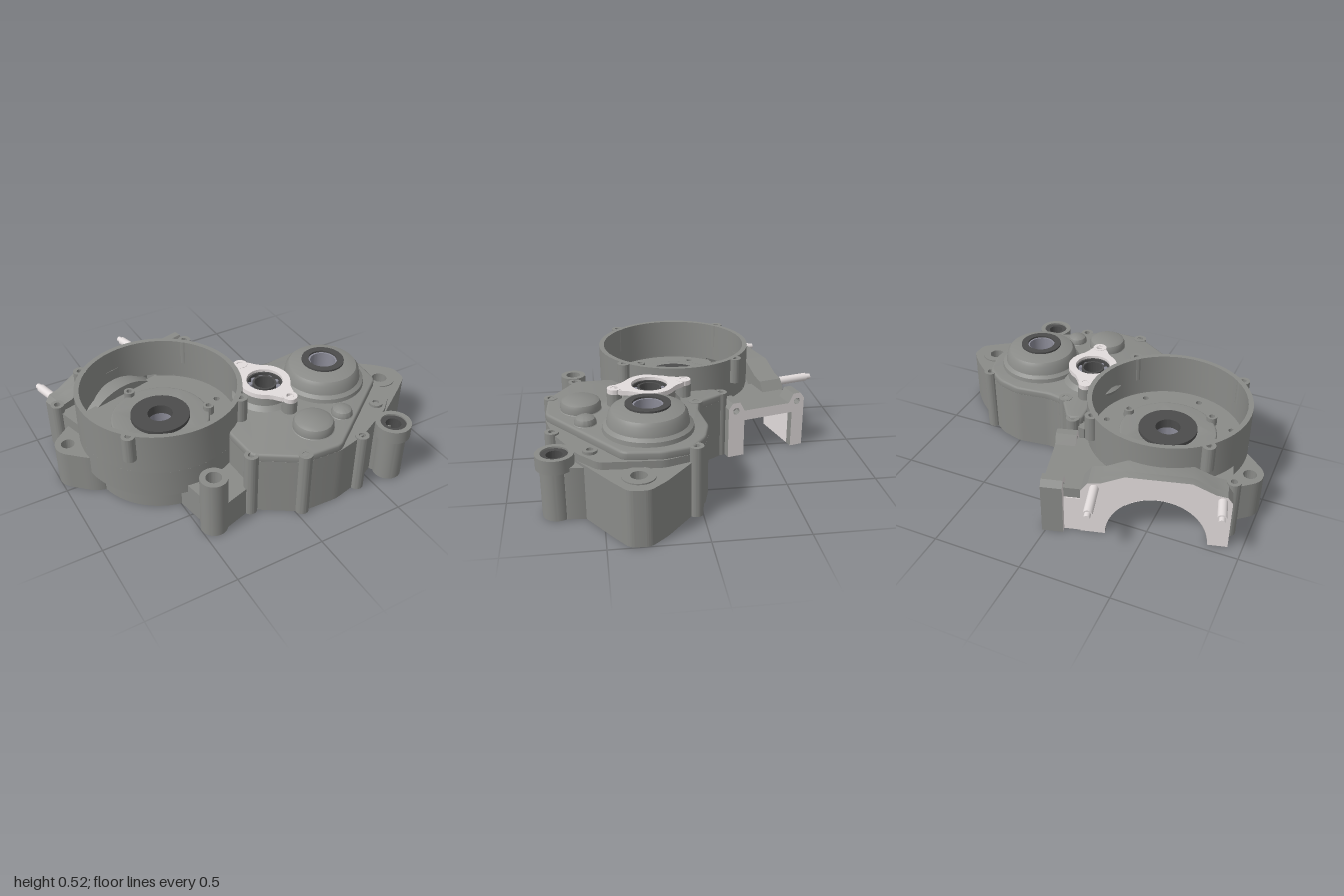
import * as THREE from 'three';
import { toCreasedNormals } from 'three/addons/utils/BufferGeometryUtils.js';

const mat = (color) => new THREE.MeshStandardMaterial({ color, side: THREE.DoubleSide });
const cast = mat(0x8a8b88), light = mat(0xe2dcdc), dark = mat(0x4c4c4c), steel = mat(0x8c8c98);

// Closed outline with rounded corners from plan points [x, z]
function outline(pts, r = 0.03, Type = THREE.Shape) {
  const s = new Type(), v = pts.map(([x, z]) => new THREE.Vector2(x, -z));
  v.forEach((p, i) => {
    const a = v[(i + v.length - 1) % v.length], b = v[(i + 1) % v.length];
    const toward = (q) => p.clone().lerp(q, Math.min(0.45, r / p.distanceTo(q)));
    const p0 = toward(a), p1 = toward(b);
    i ? s.lineTo(p0.x, p0.y) : s.moveTo(p0.x, p0.y);
    s.quadraticCurveTo(p.x, p.y, p1.x, p1.y);
  });
  s.closePath();
  return s;
}
const hole = (x, z, r) => new THREE.Path().absarc(x, -z, r, 0, Math.PI * 2, true);
function disc(x, z, r, ...holes) {
  const s = new THREE.Shape().absarc(x, -z, r, 0, Math.PI * 2);
  s.holes = holes;
  return s;
}

function add(parent, name, geo, material) {
  const m = new THREE.Mesh(geo, material);
  m.name = name;
  parent.add(m);
  return m;
}
const extrude = (shape, depth, bevel = 0) => toCreasedNormals(new THREE.ExtrudeGeometry(shape, {
  depth: depth - bevel * 2, curveSegments: 28, bevelEnabled: bevel > 0,
  bevelSize: bevel, bevelThickness: bevel, bevelOffset: -bevel, bevelSegments: 3,
}).translate(0, 0, bevel), 0.6);
// Plan shape raised from y0 to y1
const slab = (parent, name, shape, y0, y1, material = cast, bevel = 0) =>
  add(parent, name, extrude(shape, y1 - y0, bevel).rotateX(-Math.PI / 2).translate(0, y0, 0), material);
const tube = (parent, name, x, z, r, ri, y0, y1, material = cast) =>
  slab(parent, name, disc(x, z, r, hole(x, z, ri)), y0, y1, material);
function lathe(parent, name, x, z, pts) {
  const g = new THREE.LatheGeometry(pts.map((p) => new THREE.Vector2(...p)), 48);
  return add(parent, name, toCreasedNormals(g, 0.6).translate(x, 0, z), cast);
}
function box(parent, name, x0, x1, y0, y1, z0, z1, material = cast) {
  const g = new THREE.BoxGeometry(x1 - x0, y1 - y0, z1 - z0);
  return add(parent, name, g.translate((x0 + x1) / 2, (y0 + y1) / 2, (z0 + z1) / 2), material);
}

// Round crank housing; local -z points along the cylinder bore
function crankHousing() {
  const g = new THREE.Group(), turn = 0.255;
  g.name = 'crankHousing';
  g.position.set(-0.42, 0, 0.01);
  g.rotation.y = turn;
  const a0 = Math.PI / 2 + 0.65, a1 = Math.PI * 2.5 - 0.65;
  const openRing = (R, r) => {
    const s = new THREE.Shape().absarc(0, 0, R, a0, a1);
    s.absarc(0, 0, r, a1, a0, true);
    s.closePath();
    return s;
  };
  // Joint screw holes run through the floor and the chamber wall
  const screwHoles = [0, 1, 3, 4, 5, 6].map((i) => {
    const a = 0.035 + i * Math.PI * 2 / 7 - turn;
    return hole(Math.cos(a) * 0.366, -Math.sin(a) * 0.366, 0.018);
  });
  slab(g, 'drumWall', disc(0, 0, 0.453, hole(0, 0, 0.425)), 0.29, 0.525);
  slab(g, 'drumLowerWall', openRing(0.453, 0.425), 0.13, 0.29);
  const chamber = openRing(0.395, 0.345);
  chamber.holes = screwHoles;
  slab(g, 'crankChamberWall', chamber, 0, 0.17);
  slab(g, 'crankChamberLining', openRing(0.346, 0.34), 0.002, 0.15, light);
  // Floor, cut straight where the bore enters
  const floor = new THREE.Shape().absarc(0, 0, 0.44, a0, a1);
  floor.closePath();
  floor.holes = [hole(0, 0, 0.13), ...screwHoles];
  slab(g, 'drumFloor', floor, 0.14, 0.28);
  slab(g, 'floorRaisedRing', disc(0, 0, 0.275, hole(0, 0, 0.13)), 0.27, 0.305, cast, 0.01);
  tube(g, 'crankSeal', 0, 0, 0.165, 0.07, 0.27, 0.325, dark);
  tube(g, 'crankBearing', 0, 0, 0.13, 0.07, 0.13, 0.27, steel);
  for (let i = 0; i < 3; i++) {
    const a = -0.27 + i * 2.09 - turn;
    tube(g, 'floorPeg', Math.cos(a) * 0.275, -Math.sin(a) * 0.275, 0.03, 0.016, 0.27, 0.33);
  }
  for (let i = 0; i < 4; i++) {
    const a = Math.PI / 4 + i * Math.PI / 2 - turn;
    tube(g, 'coverScrewBoss', Math.cos(a) * 0.458, -Math.sin(a) * 0.458, 0.036, 0.016, 0.38, 0.525);
  }

  // Cylinder deck: arched face, then its top running in to the drum
  const deckShape = (y) => {
    const s = new THREE.Shape(), a = Math.asin(y / 0.27);
    [[-0.377, y], [-0.377, 0.3], [-0.35, 0.335], [-0.29, 0.345], [-0.17, 0.4], [0.17, 0.4],
      [0.29, 0.345], [0.36, 0.335], [0.4, 0.28], [0.4, y]]
      .forEach(([px, py], i) => (i ? s.lineTo(px, py) : s.moveTo(px, py)));
    s.absarc(0, 0, 0.27, a, Math.PI - a);
    s.closePath();
    return s;
  };
  add(g, 'cylinderDeck', extrude(deckShape(0), 0.05).translate(0, 0, -0.56), [light, cast]);
  add(g, 'deckTop', extrude(deckShape(0.2), 0.09).translate(0, 0, -0.512), cast);
  // Roof of the bore, seen as a hump inside the drum
  const hump = new THREE.Shape().absarc(0, 0, 0.335, 0.25, Math.PI - 0.25);
  hump.absarc(0, 0, 0.27, Math.PI - 0.25, 0.25, true);
  hump.closePath();
  add(g, 'boreRoof', extrude(hump, 0.12).translate(0, 0, -0.45), cast);
  add(g, 'boreLining', new THREE.CylinderGeometry(0.268, 0.268, 0.22, 40, 1, true, Math.PI / 2 + 0.9, Math.PI - 0.9)
    .rotateX(Math.PI / 2).translate(0, 0, -0.45), light);
  slab(g, 'deckSideWall', outline([[-0.377, -0.52], [-0.27, -0.52], [-0.27, -0.33], [-0.37, -0.24]], 0.01), 0, 0.3);

  // Studs in the deck
  for (const [x, end] of [[-0.326, -0.713], [0.327, -0.785]]) {
    const len = -0.55 - end;
    add(g, 'deckStud', new THREE.CylinderGeometry(0.025, 0.025, len - 0.03, 20)
      .rotateX(Math.PI / 2).translate(x, 0.305, -0.55 - (len - 0.03) / 2), light);
    add(g, 'studTip', new THREE.CylinderGeometry(0.017, 0.017, 0.035, 20)
      .rotateX(Math.PI / 2).translate(x, 0.305, end + 0.0175), light);
  }

  // Intake tunnel and its flange on the side
  box(g, 'intakeRoof', 0.25, 0.56, 0.22, 0.28, -0.55, -0.12);
  box(g, 'intakeRearWall', 0.39, 0.56, 0, 0.22, -0.555, -0.51, light);
  box(g, 'intakeFrontWall', 0.37, 0.56, 0, 0.22, -0.2, -0.13, light);
  const f = new THREE.Shape();
  [[0.1, 0], [0.1, 0.3], [0.125, 0.335], [0.17, 0.335], [0.2, 0.28], [0.487, 0.28], [0.517, 0.335],
    [0.562, 0.335], [0.587, 0.3], [0.587, 0], [0.51, 0], [0.51, 0.22], [0.2, 0.22], [0.2, 0]]
    .forEach(([x, y], i) => (i ? f.lineTo(x, y) : f.moveTo(x, y)));
  f.closePath();
  for (const x of [0.147, 0.54]) f.holes.push(new THREE.Path().absarc(x, 0.285, 0.02, 0, Math.PI * 2, true));
  add(g, 'intakeFlange', extrude(f, 0.115).rotateY(Math.PI / 2).translate(0.49, 0, 0), [light, cast]);
  return g;
}

// Gearbox half: open below, stepped roof above
function gearCase() {
  const g = new THREE.Group();
  g.name = 'gearCase';
  const rear = [[0.02, -0.18], [0.1, -0.21], [0.2, -0.06], [0.3, -0.04], [0.5, -0.065], [0.63, -0.03], [0.74, 0.05]];
  const left = [[0.25, 0.78], [0.03, 0.77], [-0.2, 0.62], [-0.21, 0.4], [0, 0.25], [0.035, 0.05]];
  const front = [[0.66, 0.62], [0.42, 0.74]];
  const lug = [[0.92, 0.2], [1, 0.29], [0.995, 0.39], [0.9, 0.46]];
  const cavity = [[0.08, 0.1], [0.16, 0.01], [0.5, -0.025], [0.64, 0.015], [0.73, 0.12], [0.76, 0.4],
    [0.62, 0.6], [0.4, 0.705], [0.24, 0.745], [0.05, 0.735], [-0.165, 0.6], [-0.17, 0.43], [0.01, 0.28]];
  const bearings = () => [hole(0.13, 0.21, 0.1), hole(0.49, 0.25, 0.1)];
  const layer = (name, pts, holes, y0, y1, bevel) => {
    const s = outline(pts);
    s.holes = holes;
    slab(g, name, s, y0, y1, cast, bevel);
  };
  const full = [...rear, ...lug, ...front, ...left];
  layer('gearCaseWall', full, [outline(cavity, 0.03, THREE.Path), hole(0.86, 0.33, 0.042)], 0, 0.27);
  layer('gearCaseRoof', full, [...bearings(), hole(0.86, 0.33, 0.042)], 0.27, 0.305);
  layer('gearCaseStep', [...rear, [0.79, 0.2], [0.77, 0.52], ...front, ...left], bearings(), 0.3, 0.345);
  layer('gearCaseTop', [...rear, [0.78, 0.2], [0.76, 0.4], ...left], bearings(), 0.335, 0.387, 0.012);
  tube(g, 'mountLugRing', 0.86, 0.33, 0.085, 0.042, 0.29, 0.312);
  const lining = outline(cavity);
  lining.holes = [outline(cavity.map(([x, z]) => [0.3 + (x - 0.3) * 0.985, 0.35 + (z - 0.35) * 0.985]), 0.03, THREE.Path)];
  slab(g, 'cavityLining', lining, 0.002, 0.268, light);

  // Output shaft bearing housing
  lathe(g, 'outputBearingHousing', 0.49, 0.25, [[0.1, 0.2], [0.14, 0.2], [0.15, 0.28], [0.24, 0.38], [0.235, 0.41],
    [0.215, 0.425], [0.205, 0.475], [0.19, 0.495], [0.125, 0.515], [0.1, 0.515], [0.1, 0.2]]);
  tube(g, 'outputSeal', 0.49, 0.25, 0.118, 0.08, 0.49, 0.525, dark);
  tube(g, 'outputSleeve', 0.49, 0.25, 0.092, 0.07, 0.2, 0.515, steel);

  // Input shaft bearing with its eared retainer
  lathe(g, 'inputBearingHousing', 0.13, 0.21, [[0.1, 0.2], [0.13, 0.2], [0.135, 0.3], [0.18, 0.38],
    [0.145, 0.41], [0.14, 0.46], [0.1, 0.46], [0.1, 0.2]]);
  const retainer = new THREE.Shape();
  for (let i = 0; i < 72; i++) {
    const a = i / 72 * Math.PI * 2;
    const r = 0.142 + 0.075 * Math.abs(Math.cos(a - 1.77)) ** 18;
    const x = 0.13 + r * Math.cos(a), y = -0.21 + r * Math.sin(a);
    i ? retainer.lineTo(x, y) : retainer.moveTo(x, y);
  }
  retainer.closePath();
  retainer.holes = [hole(0.13, 0.21, 0.1), hole(0.09, 0.015, 0.02), hole(0.17, 0.405, 0.02)];
  slab(g, 'bearingRetainer', retainer, 0.455, 0.482, light);
  for (const [x, z] of [[0.09, 0.015], [0.17, 0.405]]) {
    tube(g, 'retainerEar', x, z, 0.04, 0.02, 0.456, 0.484, light);
    tube(g, 'retainerBoss', x, z, 0.042, 0.02, 0.37, 0.458);
  }
  tube(g, 'inputOuterRace', 0.13, 0.21, 0.102, 0.09, 0.25, 0.465, dark);
  tube(g, 'inputInnerRace', 0.13, 0.21, 0.066, 0.055, 0.25, 0.465, dark);
  for (let i = 0; i < 10; i++) {
    const a = i / 10 * Math.PI * 2;
    add(g, 'bearingRoller', new THREE.CylinderGeometry(0.014, 0.014, 0.18, 14)
      .translate(0.13 + 0.078 * Math.cos(a), 0.36, 0.21 + 0.078 * Math.sin(a)), steel);
  }

  // Raised round covers
  const dome = (x, z, r, top) => lathe(g, 'roundCover', x, z,
    [[r + 0.012, 0.38], [r, 0.39], [r, top - 0.03], [r - 0.008, top - 0.012], [r - 0.03, top], [0, top]]);
  dome(0.2, 0.59, 0.11, 0.448);
  dome(0.4, 0.57, 0.058, 0.432);
  return g;
}

export function createModel() {
  const model = new THREE.Group();
  model.name = 'crankcaseHalf';
  model.add(crankHousing(), gearCase());

  // Side mounting lug
  const lug = outline([[-0.79, -0.3], [-0.87, -0.25], [-1, -0.14], [-1, -0.05], [-0.86, 0.08], [-0.78, 0.1]], 0.05);
  lug.holes = [hole(-0.93, -0.1, 0.037)];
  slab(model, 'sideLug', lug, 0, 0.235);

  // Web joining drum, intake and gear case
  slab(model, 'junctionWeb', outline([[-0.01, -0.22], [0.1, -0.2], [0.12, 0], [0.08, 0.16], [0.01, 0.18], [0.035, 0]], 0.01), 0, 0.34);

  // Front mounting boss and its web
  const web = outline([[-0.5, 0.38], [-0.46, 0.6], [-0.42, 0.69], [-0.19, 0.62], [-0.16, 0.36]]);
  web.holes = [hole(-0.425, 0.63, 0.042)];
  slab(model, 'frontWeb', web, 0, 0.175);
  tube(model, 'frontBoss', -0.425, 0.63, 0.073, 0.042, 0, 0.342);

  // Corner mounting boss with collar and bush
  tube(model, 'cornerBoss', 0.635, 0.73, 0.078, 0.055, 0, 0.28);
  tube(model, 'cornerCollar', 0.635, 0.73, 0.098, 0.07, 0.27, 0.345);
  tube(model, 'cornerBush', 0.635, 0.73, 0.075, 0.042, 0.02, 0.335, dark);
  slab(model, 'cornerWeb', outline([[0.53, 0.62], [0.57, 0.7], [0.7, 0.69], [0.71, 0.56]], 0.01), 0, 0.29);

  // Joint screws around the rim: x, z, top
  for (const [x, z, top] of [[0.07, -0.2, 0.385], [0.19, -0.04, 0.39], [0.73, 0.035, 0.385], [0.65, 0.555, 0.36],
    [0.41, 0.745, 0.355], [0.04, 0.755, 0.39], [-0.2, 0.62, 0.385], [-0.895, -0.32, 0.345]]) {
    tube(model, 'screwBoss', x, z, 0.038, 0.018, 0, top);
    add(model, 'screwHole', new THREE.CylinderGeometry(0.019, 0.019, top - 0.04, 16)
      .translate(x, top / 2 - 0.01, z), dark);
  }
  return model;
}
